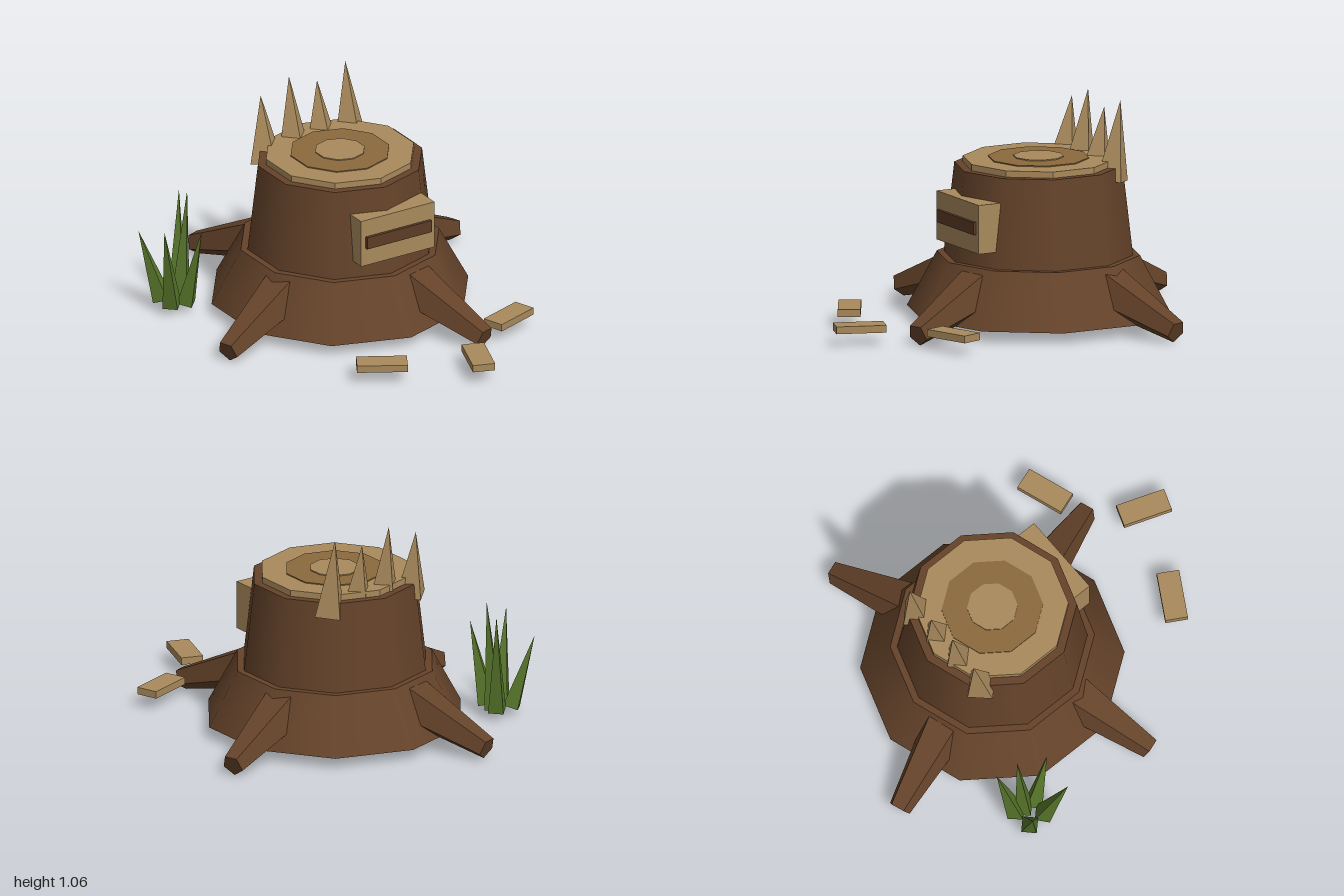
import * as THREE from 'three';

const SIDES = 10;
const CZ = -0.165; // centre of the stump in z

const material = (color, flatShading = true) => new THREE.MeshStandardMaterial({ color, flatShading });
const bark = material(0x65432a, false);
const rootBark = material(0x65432a);
const wood = material(0xa98a5c);
const ringWood = material(0x8c6a3c);
const slotWood = material(0x5c3c26);
const leaf = material(0x56742a);

function add(parent, name, geometry, mat, x = 0, y = 0, z = 0) {
  const mesh = new THREE.Mesh(geometry, mat);
  mesh.name = name;
  mesh.position.set(x, y, z);
  parent.add(mesh);
  return mesh;
}

// Upright tapered cylinder between two heights, on the stump axis
function tier(parent, name, y0, y1, r0, r1, mat) {
  const geometry = new THREE.CylinderGeometry(r1, r0, y1 - y0, SIDES);
  return add(parent, name, geometry, mat, 0, (y0 + y1) / 2, CZ);
}

// Four-sided spike running from a base point to a tip
function spike(parent, name, base, tip, radius, mat) {
  const axis = tip.clone().sub(base);
  const length = axis.length();
  const geometry = new THREE.ConeGeometry(radius, length, 4).translate(0, length / 2, 0);
  const mesh = add(parent, name, geometry, mat, base.x, base.y, base.z);
  mesh.quaternion.setFromUnitVectors(new THREE.Vector3(0, 1, 0), axis.normalize());
}

export function createModel() {
  const model = new THREE.Group();
  model.name = 'treeStump';

  // Stump body and cut face
  tier(model, 'flaredBase', 0.06, 0.325, 0.625, 0.483, bark);
  tier(model, 'trunk', 0.325, 0.755, 0.45, 0.4, bark);
  tier(model, 'cutFace', 0.755, 0.785, 0.36, 0.36, wood);
  tier(model, 'growthRing', 0.785, 0.79, 0.24, 0.24, ringWood);
  tier(model, 'heartwood', 0.79, 0.795, 0.12, 0.12, wood);

  // Four roots, sloping outward and down
  const inner = new THREE.Vector2(0.4, 0.225);
  const outer = new THREE.Vector2(0.865, 0.06);
  const rootGeometry = new THREE.CylinderGeometry(0.056, 0.122, inner.distanceTo(outer), 5)
    .rotateX(Math.PI / 2)
    .rotateX(Math.atan2(inner.y - outer.y, outer.x - inner.x))
    .translate(0, (inner.y + outer.y) / 2, (inner.x + outer.x) / 2);
  for (let i = 0; i < 4; i++) {
    const root = add(model, 'root', rootGeometry, rootBark, 0, 0, CZ);
    root.rotation.y = 0.345 + (i * Math.PI) / 2;
  }

  // Splinters left standing along the back edge
  const splinters = new THREE.Group();
  splinters.name = 'splinters';
  model.add(splinters);
  [[-0.243, 1.01], [-0.085, 1.07], [0.072, 1.01], [0.23, 1.07]].forEach(([x, top]) => {
    spike(splinters, 'splinter', new THREE.Vector3(x, 0.69, -0.435), new THREE.Vector3(x, top, -0.48), 0.085, wood);
  });

  // Front plaque with a dark slot
  add(model, 'plaque', new THREE.BoxGeometry(0.41, 0.235, 0.12), wood, 0.035, 0.522, 0.23);
  add(model, 'plaqueSlot', new THREE.BoxGeometry(0.36, 0.06, 0.03), slotWood, 0.035, 0.524, 0.29);

  // Grass tuft, blades fanning out from a shared centre
  const grass = new THREE.Group();
  grass.name = 'grassTuft';
  model.add(grass);
  const centre = new THREE.Vector3(-0.69, 0.05, -0.52);
  [
    [-0.835, 0.48, -0.395],
    [-0.84, 0.4, -0.615],
    [-0.645, 0.445, -0.365],
    [-0.6, 0.55, -0.637],
    [-0.622, 0.59, -0.53],
  ].forEach((point) => {
    const tip = new THREE.Vector3(...point);
    const base = centre.clone().lerp(tip, 0.38).setY(centre.y);
    spike(grass, 'grassBlade', base, tip, 0.052, leaf);
  });

  // Wood chips lying in front
  const chipGeometry = new THREE.BoxGeometry(0.24, 0.035, 0.108);
  [[-0.305, 0.685, -0.52], [0.12, 0.865, 1.23], [0.483, 0.56, 0.33]].forEach(([x, z, turn]) => {
    add(model, 'woodChip', chipGeometry, wood, x, 0.087, z).rotation.y = turn;
  });

  return model;
}
